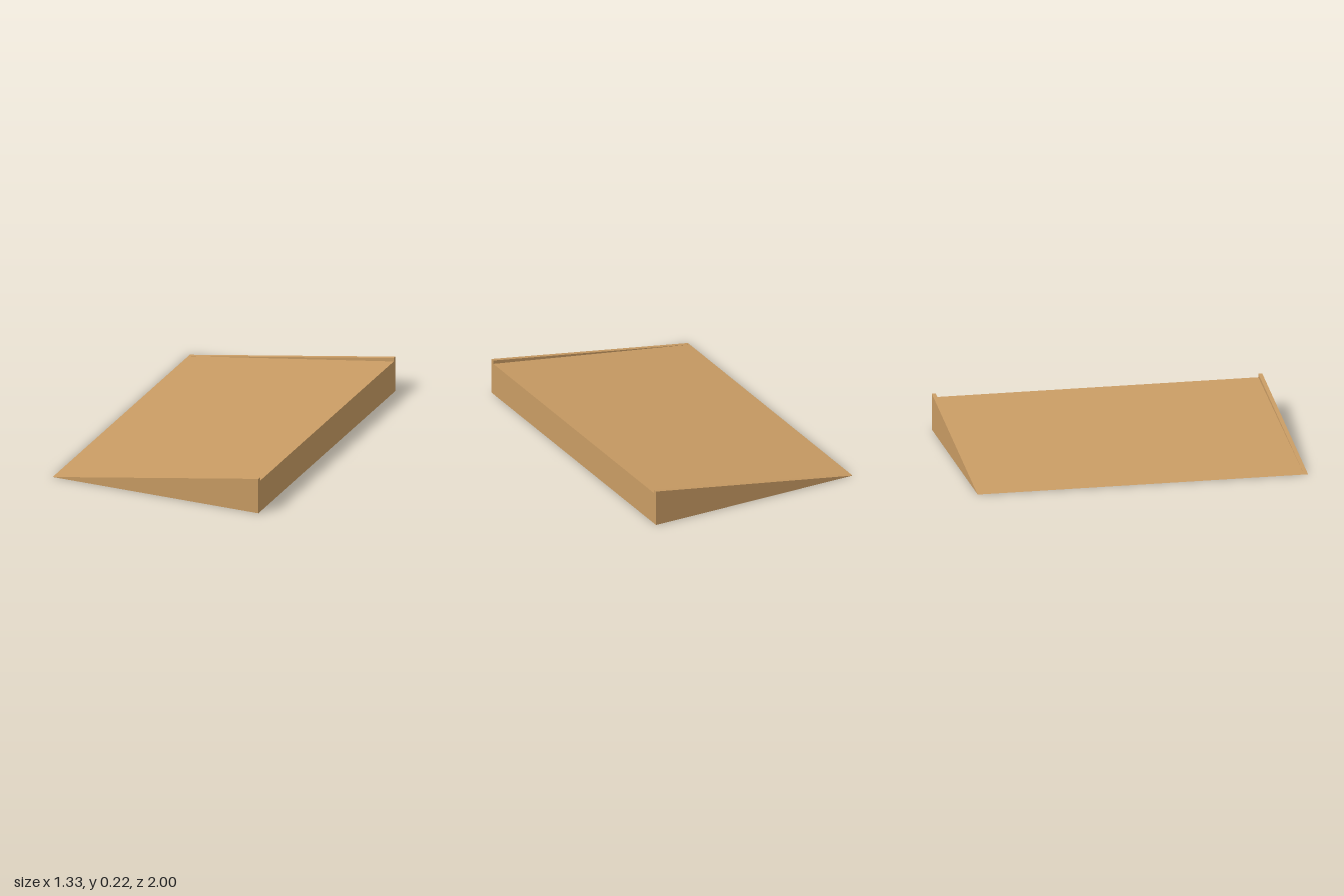
import * as THREE from 'three';

const HALF_LENGTH = 0.667;
const HALF_WIDTH = 1;
const CURB = 0.024;

// Triangular prism rising toward +x, spanning z0 to z1
function wedge(name, height, z0, z1, material) {
  const shape = new THREE.Shape();
  shape.moveTo(-HALF_LENGTH, 0);
  shape.lineTo(HALF_LENGTH, 0);
  shape.lineTo(HALF_LENGTH, height);
  shape.closePath();
  const geometry = new THREE.ExtrudeGeometry(shape, { depth: z1 - z0, bevelEnabled: false });
  geometry.translate(0, 0, z0);
  const mesh = new THREE.Mesh(geometry, material);
  mesh.name = name;
  return mesh;
}

export function createModel() {
  const group = new THREE.Group();
  group.name = 'ramp';
  const wood = new THREE.MeshStandardMaterial({ color: 0xc99c64 });
  wood.name = 'tan wood';

  // Sloped deck between the curbs
  const inner = HALF_WIDTH - CURB;
  group.add(wedge('rampDeck', 0.2, -inner, inner, wood));

  // Slightly steeper curbs along both sides
  group.add(wedge('frontCurb', 0.222, inner, HALF_WIDTH, wood));
  group.add(wedge('backCurb', 0.222, -HALF_WIDTH, -inner, wood));
  return group;
}
